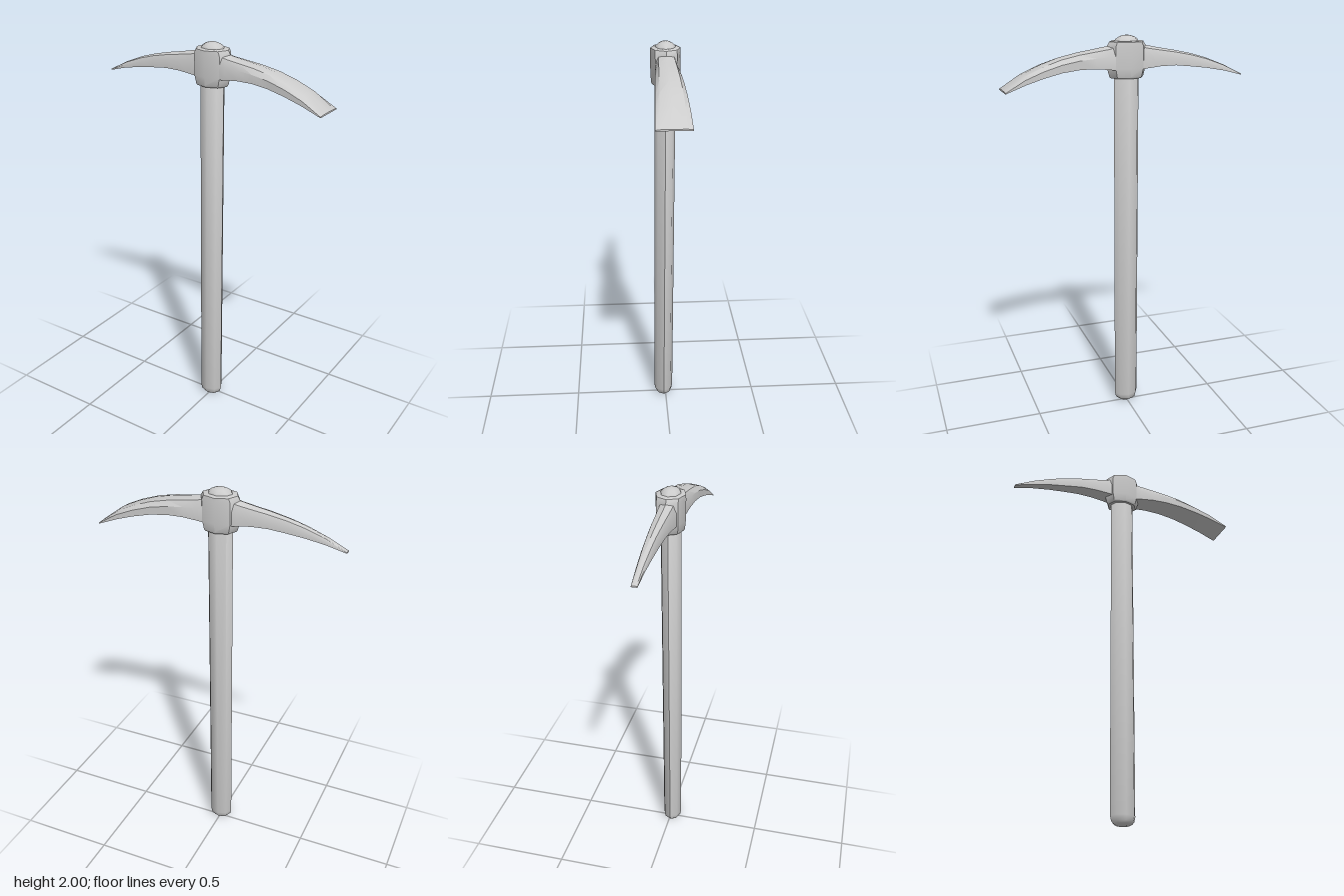
import * as THREE from 'three';
import { toCreasedNormals } from 'three/addons/utils/BufferGeometryUtils.js';

const V = (x, y, z) => new THREE.Vector3(x, y, z);

// Skin a list of equal-length closed rings and cap both ends.
// Rings run counter-clockwise as seen looking back along the loft direction.
function loft(rings, crease) {
  const n = rings[0].length;
  const pos = [];
  const index = [];
  rings.forEach(r => r.forEach(p => pos.push(p.x, p.y, p.z)));
  for (let i = 0; i < rings.length - 1; i++) {
    for (let j = 0; j < n; j++) {
      const a = i * n + j, b = i * n + (j + 1) % n;
      index.push(a, b, b + n, a, b + n, a + n);
    }
  }
  const last = (rings.length - 1) * n;
  for (let j = 1; j < n - 1; j++) {
    index.push(0, j + 1, j, last, last + j, last + j + 1);
  }
  const g = new THREE.BufferGeometry();
  g.setAttribute('position', new THREE.Float32BufferAttribute(pos, 3));
  g.setIndex(index);
  return toCreasedNormals(g, crease);
}

// Horizontal eight-sided oval
function oval(y, rx, rz, cz = 0) {
  return Array.from({ length: 8 }, (_, i) => {
    const a = i * Math.PI / 4;
    return V(rx * Math.cos(a), y, cz - rz * Math.sin(a));
  });
}

// Arm cross-section: flat underside, upright flanks, gently crowned top
function armRing([x, top, bottom, half]) {
  const h = top - bottom;
  const ring = [
    [-1, 0], [1, 0], [1, 0.55], [0.72, 0.88], [0, 1], [-0.72, 0.88], [-1, 0.55],
  ].map(([z, y]) => V(x, bottom + y * h, z * half));
  return x < 0 ? ring : ring.reverse();
}

export function createModel() {
  const model = new THREE.Group();
  const material = new THREE.MeshStandardMaterial({ color: 0xcccccc });
  const add = (name, geometry) => {
    const mesh = new THREE.Mesh(geometry, material);
    mesh.name = name;
    model.add(mesh);
  };

  // Handle: slightly leaning shaft with rounded butt and domed top; [y, scale]
  const shaft = [
    [0, 0.5], [0.008, 0.74], [0.02, 0.91], [0.045, 1], [1.97, 1],
    [1.982, 0.88], [1.993, 0.62], [2, 0.28],
  ];
  add('handle', loft(
    shaft.map(([y, s]) => oval(y, 0.064 * s, 0.051 * s, 0.012 * (1 - y / 2))), 0.9));

  // Socket around the handle: flared lower rim and bevelled top; [y, rx, rz]
  const socket = [
    [1.796, 0.082, 0.064], [1.803, 0.088, 0.068], [1.845, 0.1, 0.072],
    [1.95, 0.1, 0.073], [1.97, 0.088, 0.072], [1.974, 0.076, 0.062],
  ];
  add('socket', loft(socket.map(([y, rx, rz]) => oval(y, rx, rz)), 0.7));

  // Arms of the head; [x, top, bottom, half width]
  const pick = [
    [-0.05, 1.965, 1.835, 0.046], [-0.1, 1.95, 1.842, 0.043],
    [-0.17, 1.936, 1.849, 0.039], [-0.25, 1.922, 1.85, 0.035],
    [-0.34, 1.903, 1.84, 0.029], [-0.42, 1.88, 1.83, 0.025],
    [-0.52, 1.842, 1.812, 0.019], [-0.62, 1.793, 1.786, 0.014],
  ];
  const adze = [
    [0.05, 1.965, 1.835, 0.05], [0.1, 1.95, 1.842, 0.053],
    [0.17, 1.938, 1.849, 0.057], [0.25, 1.925, 1.849, 0.061],
    [0.34, 1.905, 1.838, 0.066], [0.43, 1.874, 1.817, 0.071],
    [0.52, 1.832, 1.79, 0.076], [0.617, 1.762, 1.754, 0.081],
  ];
  // Lofts start at the socket and run out to the tip
  add('pickArm', loft(pick.map(armRing), 0.6));
  add('adzeArm', loft(adze.map(armRing), 0.6));

  return model;
}
